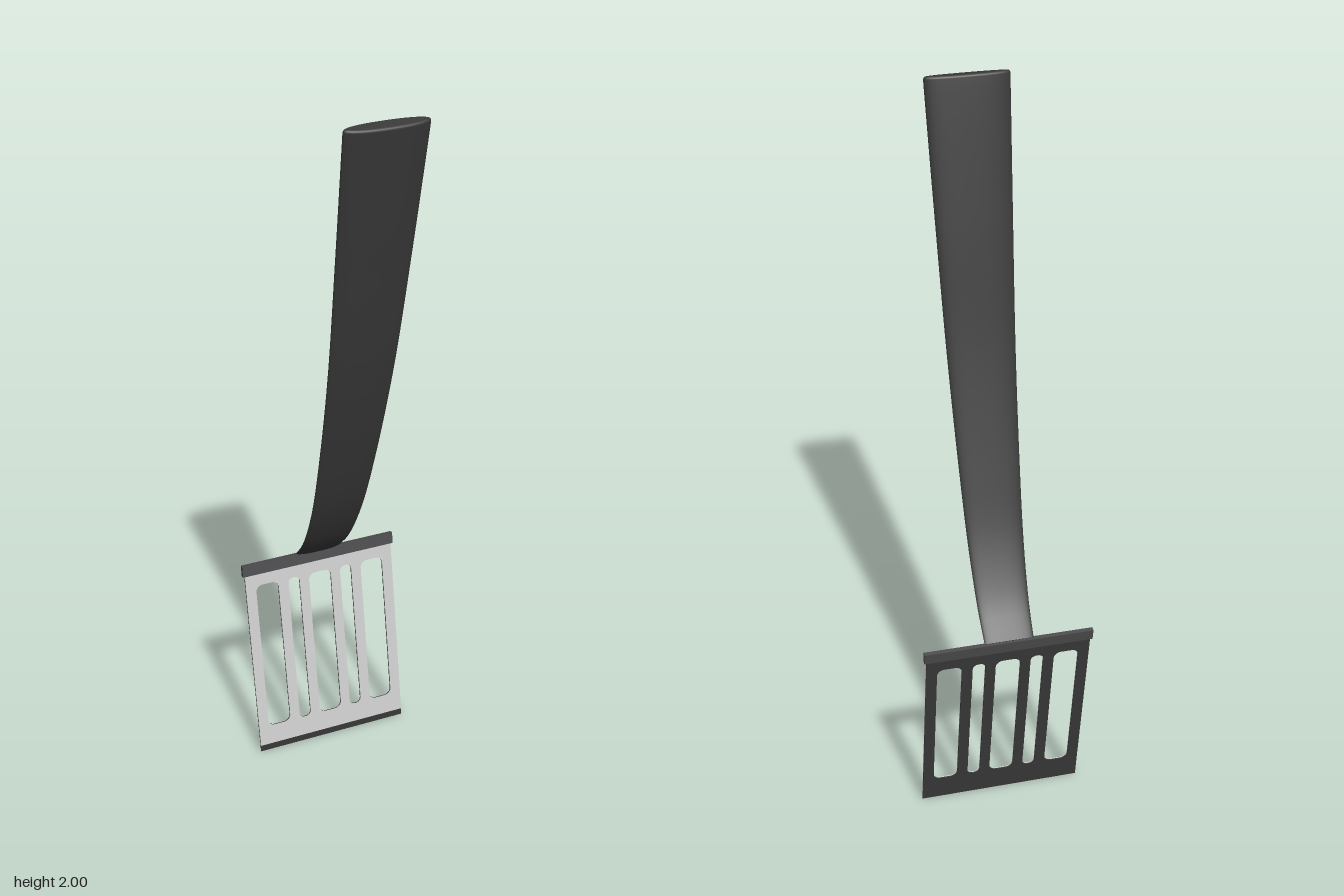
import * as THREE from 'three';

const dark = new THREE.MeshStandardMaterial({ color: 0x3a3a3a });
const barGrey = new THREE.MeshStandardMaterial({ color: 0x4c4c4e });
const grey = new THREE.MeshStandardMaterial({ color: 0xcccccc });

function addMesh(parent, name, geometry, material) {
  const mesh = new THREE.Mesh(geometry, material);
  mesh.name = name;
  parent.add(mesh);
  return mesh;
}

// Rounded rectangle traced on a Shape or Path
function roundedRect(path, x0, y0, x1, y1, r) {
  path.moveTo(x0 + r, y0);
  path.lineTo(x1 - r, y0);
  path.absarc(x1 - r, y0 + r, r, -Math.PI / 2, 0);
  path.lineTo(x1, y1 - r);
  path.absarc(x1 - r, y1 - r, r, 0, Math.PI / 2);
  path.lineTo(x0 + r, y1);
  path.absarc(x0 + r, y1 - r, r, Math.PI / 2, Math.PI);
  path.lineTo(x0, y0 + r);
  path.absarc(x0 + r, y0 + r, r, Math.PI, Math.PI * 1.5);
  return path;
}

// Slotted sheet, hanging down from the origin
function sheet(depth) {
  const w = 0.225, bottom = -0.572;
  const shape = new THREE.Shape([
    new THREE.Vector2(-w, bottom), new THREE.Vector2(w, bottom),
    new THREE.Vector2(w, 0), new THREE.Vector2(-w, 0),
  ]);
  // slot centre and half width
  for (const [c, h] of [[-0.161, 0.034], [-0.08, 0.0175], [0, 0.034], [0.08, 0.0175], [0.161, 0.034]])
    shape.holes.push(roundedRect(new THREE.Path(), c - h, -0.515, c + h, -0.064, Math.min(0.02, h * 0.9)));
  return new THREE.ExtrudeGeometry(shape, { depth, bevelEnabled: false, curveSegments: 8 });
}

// Handle: lens-shaped cross-sections swept along a bowed centre line
function handleGeometry() {
  const spine = new THREE.CatmullRomCurve3([
    [0.59, -0.229], [0.66, -0.166], [0.8, -0.087], [1.0, -0.013],
    [1.3, 0.074], [1.65, 0.149], [1.99, 0.216],
  ].map(([y, z]) => new THREE.Vector3(0, y, z)));
  const steps = 48, sides = 48, n = sides + 1, round = 0.007;
  const pos = [], index = [];
  // One section at t, drawn in by inset and pushed on along the tangent
  const ring = (t, inset = 0, push = 0) => {
    const d = spine.getTangentAt(t);
    const p = spine.getPointAt(t).addScaledVector(d, push);
    const halfW = 0.067 + 0.05 * t - 0.007 * t * t - inset;
    const halfT = 0.007 + 0.014 * Math.pow(t, 0.8) - inset;
    for (let j = 0; j <= sides; j++) {
      const a = (j / sides) * Math.PI * 2;
      const c = Math.cos(a), v = halfT * Math.sin(a);
      const u = halfW * Math.sign(c) * Math.pow(Math.abs(c), 0.85);
      pos.push(u, p.y - d.z * v, p.z + d.y * v);
    }
    return p;
  };
  for (let i = 0; i <= steps; i++) ring(i / steps);
  // rounded rim at the top
  for (const a of [0.4, 0.8, 1.2, Math.PI / 2])
    ring(1, round * (1 - Math.cos(a)), round * Math.sin(a));
  const rings = pos.length / 3 / n;
  for (let i = 0; i < rings - 1; i++)
    for (let j = 0; j < sides; j++) {
      const a = i * n + j, b = a + 1, c = a + n, e = c + 1;
      index.push(a, c, b, b, c, e);
    }
  // flat end caps with their own vertices
  for (const t of [0, 1]) {
    const start = pos.length / 3, centre = start + n;
    const p = t ? ring(1, round, round) : ring(0);
    pos.push(0, p.y, p.z);
    for (let j = start; j < start + sides; j++)
      index.push(centre, t ? j + 1 : j, t ? j : j + 1);
  }
  const g = new THREE.BufferGeometry();
  g.setAttribute('position', new THREE.Float32BufferAttribute(pos, 3));
  g.setIndex(index);
  g.computeVertexNormals();
  return g;
}

export function createModel() {
  const model = new THREE.Group();
  model.name = 'spatula';

  addMesh(model, 'handle', handleGeometry(), dark);

  // Blade leans forward towards its lower edge
  const blade = new THREE.Group();
  blade.name = 'blade';
  blade.position.set(0, 0.585, -0.23);
  blade.rotation.x = -0.17;
  model.add(blade);

  addMesh(blade, 'bladeFront', sheet(0.003), grey);
  addMesh(blade, 'bladeBack', sheet(0.003), dark).position.z = -0.003;

  // Bar joining blade and handle
  addMesh(blade, 'topBar', new THREE.BoxGeometry(0.462, 0.033, 0.012), barGrey).position.y = -0.012;

  // Sharpened lower edge, bevelled on the front
  const wedge = new THREE.Shape([
    new THREE.Vector2(-0.003, -0.572), new THREE.Vector2(0.003, -0.572),
    new THREE.Vector2(-0.002, -0.593), new THREE.Vector2(-0.003, -0.593),
  ]);
  const edge = new THREE.ExtrudeGeometry(wedge, { depth: 0.45, bevelEnabled: false });
  edge.rotateY(-Math.PI / 2).translate(0.225, 0, 0);
  addMesh(blade, 'bladeEdge', edge, dark);

  return model;
}
